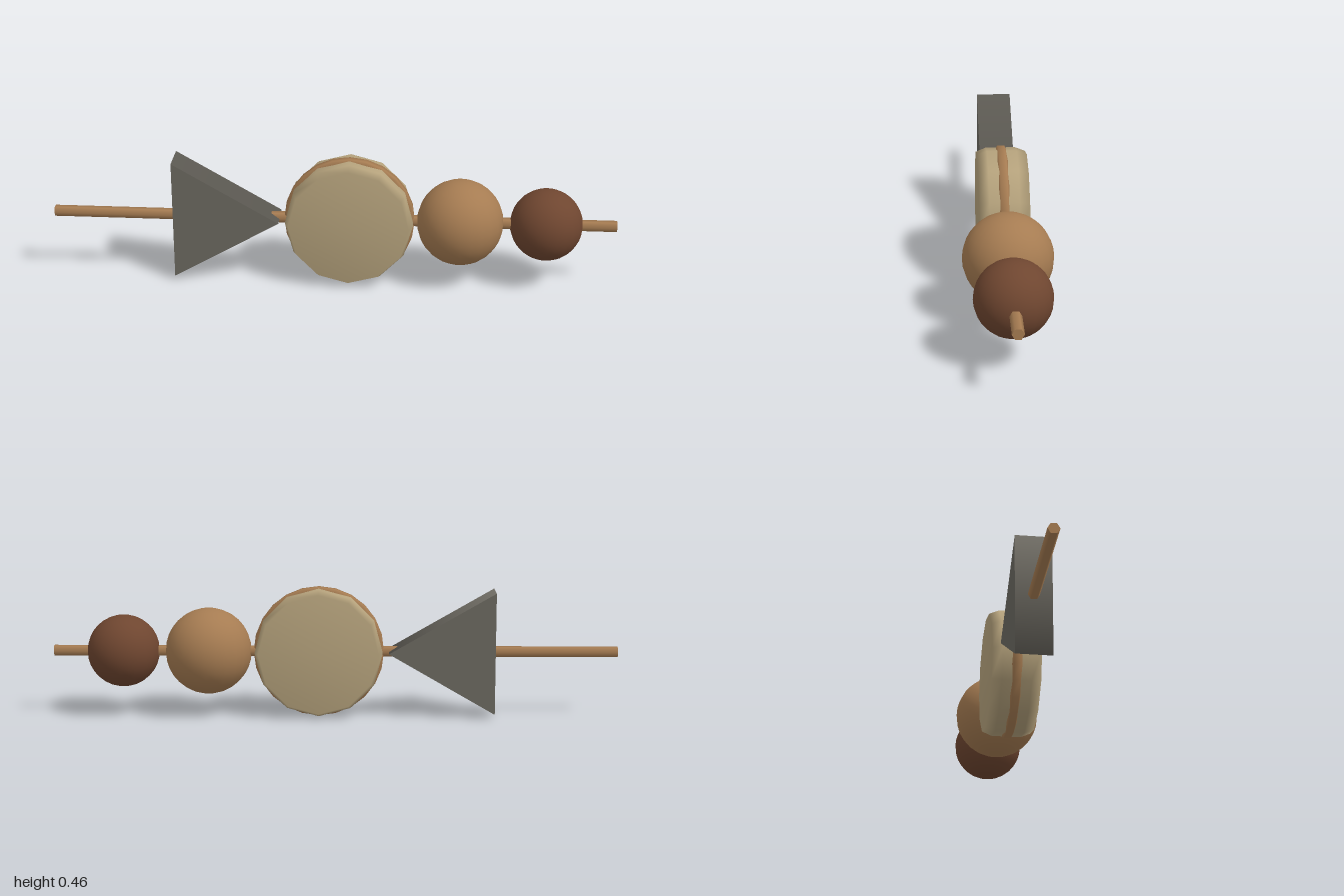
import * as THREE from 'three';

const AXIS_Y = 0.232; // height of the skewer line

export function createModel() {
  const paint = (name, color) => {
    const m = new THREE.MeshStandardMaterial({ color });
    m.name = name;
    return m;
  };
  const wood = paint('tan', 0xa67c52);
  const cream = paint('cream', 0xb5a27c);
  const brown = paint('dark brown', 0x6f4630);
  const grey = paint('grey', 0x6b6860);

  const group = new THREE.Group();
  group.name = 'skewer';
  const add = (name, geometry, material, x) => {
    const mesh = new THREE.Mesh(geometry, material);
    mesh.name = name;
    mesh.position.set(x, AXIS_Y, 0);
    group.add(mesh);
  };
  // Profile of [radius, z] pairs spun about the z axis
  const turned = (profile, sides) =>
    new THREE.LatheGeometry(profile.map(([r, z]) => new THREE.Vector2(r, z)), sides).rotateX(Math.PI / 2);

  // Six-sided stick through everything
  add('stick', new THREE.CylinderGeometry(0.02, 0.02, 2, 6).rotateZ(Math.PI / 2), wood, 0);

  // Triangular slab pointing along the stick
  add('triangle', new THREE.CylinderGeometry(0.25, 0.25, 0.125, 3, 1, false, Math.PI / 2).rotateX(Math.PI / 2), grey, -0.44);

  // Twelve-sided disc with softened rims
  add('disc', turned([[0, -0.087], [0.212, -0.087], [0.226, -0.052], [0.226, 0.052], [0.212, 0.087], [0, 0.087]], 12), cream, 0.058);

  // Thin band standing just proud of the disc edge
  add('discBand', turned([[0.194, -0.012], [0.212, -0.021], [0.231, -0.012], [0.231, 0.012], [0.212, 0.021], [0.194, 0.012], [0.194, -0.012]], 24), wood, 0.058);

  // Two round balls
  add('largeBall', new THREE.SphereGeometry(0.153, 24, 16), wood, 0.45);
  add('smallBall', new THREE.SphereGeometry(0.128, 24, 16), brown, 0.753);

  return group;
}
